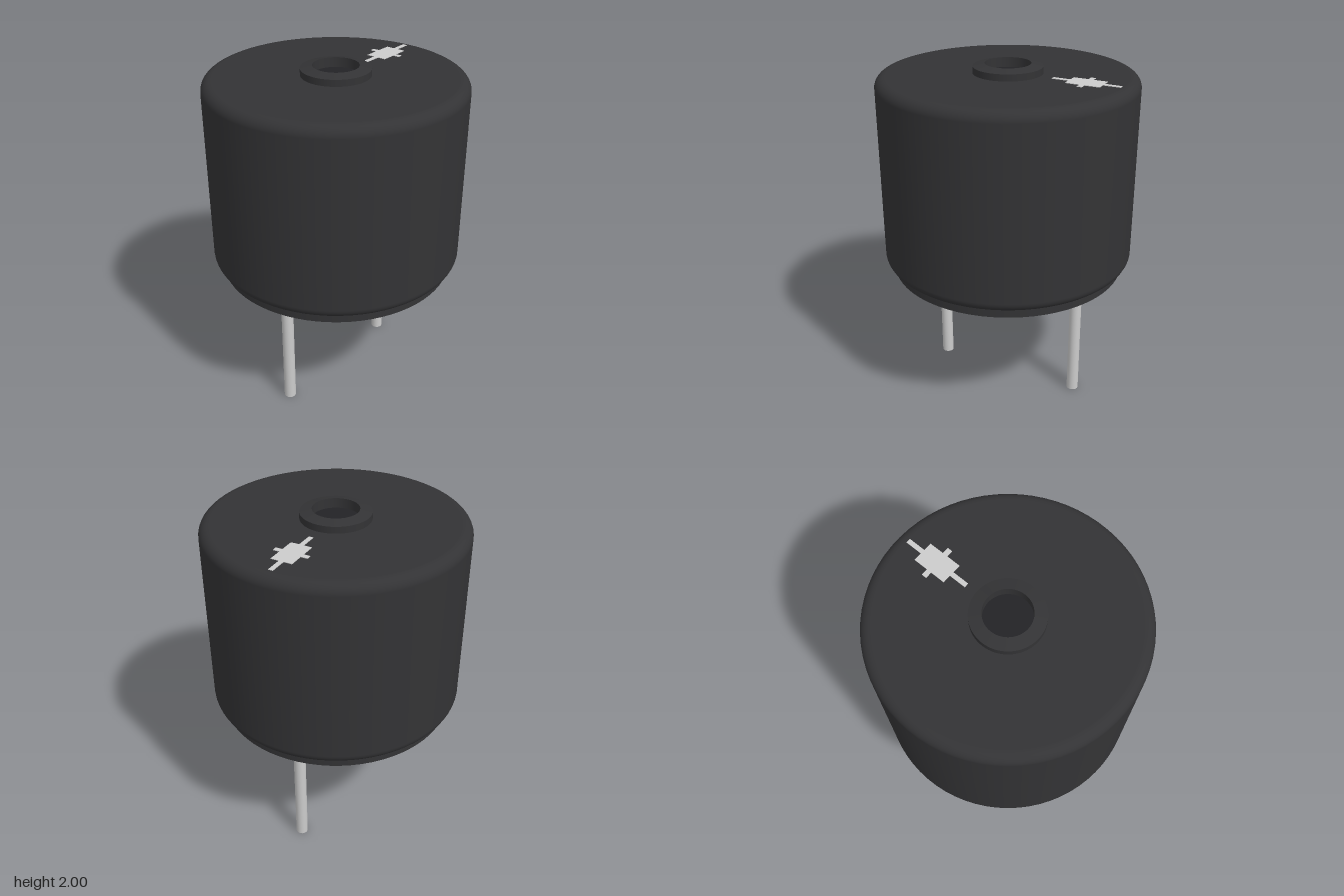
import * as THREE from 'three';

const SEGMENTS = 72;

// Lathe with a crease wherever one profile section meets the next
function turned(name, sections, material) {
  const group = new THREE.Group();
  group.name = name;
  for (const points of sections) {
    const profile = points.map(([r, y]) => new THREE.Vector2(r, y));
    group.add(new THREE.Mesh(new THREE.LatheGeometry(profile, SEGMENTS), material));
  }
  group.children.forEach((mesh, i) => { mesh.name = `${name}Surface${i + 1}`; });
  return group;
}

// Quarter-round edge points
function fillet(cx, cy, r, from, to, steps = 8) {
  return Array.from({ length: steps + 1 }, (_, i) => {
    const a = from + (to - from) * i / steps;
    return [cx + r * Math.cos(a), cy + r * Math.sin(a)];
  });
}

export function createModel() {
  const model = new THREE.Group();
  model.name = 'buzzer';
  const shell = new THREE.MeshStandardMaterial({ color: 0x333335 });
  const dark = new THREE.MeshStandardMaterial({ color: 0x232326 });
  const metal = new THREE.MeshStandardMaterial({ color: 0xcccccc });

  // Round housing with softened top and bottom edges
  const R = 0.73, top = 1.947, bottom = 0.845, f = 0.06;
  model.add(turned('housing', [
    [[0, bottom], [R - f, bottom]],
    [...fillet(R - f, bottom + f, f, -Math.PI / 2, 0), ...fillet(R - f, top - f, f, 0, Math.PI / 2)],
    [[R - f, top], [0.19, top]],
  ], shell));

  // Base plate set in from the housing wall
  const base = new THREE.Mesh(new THREE.CylinderGeometry(0.68, 0.68, 0.055, SEGMENTS), shell);
  base.name = 'basePlate';
  base.position.y = 0.8225;
  model.add(base);

  // Raised rim around the sound hole
  model.add(turned('soundHoleRim', [
    [[0.195, 1.94], [0.195, 1.985]],
    [[0.195, 1.985], [0.128, 2]],
    [[0.128, 2], [0.128, 1.94]],
  ], shell));

  // Floor of the sound hole
  const floor = new THREE.Mesh(new THREE.CircleGeometry(0.13, SEGMENTS), dark);
  floor.name = 'soundHoleFloor';
  floor.rotation.x = -Math.PI / 2;
  floor.position.y = 1.945;
  model.add(floor);

  // Flat cross-shaped polarity mark, drawn as one outline
  const quarter = [[0.013, 0.195], [0.013, 0.097], [0.06, 0.097], [0.06, 0.014], [0.098, 0.014]];
  const outline = [
    ...quarter,
    ...quarter.map(([x, y]) => [x, -y]).reverse(),
    ...quarter.map(([x, y]) => [-x, -y]),
    ...quarter.map(([x, y]) => [-x, y]).reverse(),
  ].map(([x, y]) => new THREE.Vector2(x, y));
  const mark = new THREE.Mesh(
    new THREE.ExtrudeGeometry(new THREE.Shape(outline), { depth: 0.006, bevelEnabled: false }), metal);
  mark.name = 'polarityMark';
  mark.rotation.x = -Math.PI / 2;
  mark.position.set(0, top - 0.003, -0.464);
  model.add(mark);

  // Two connection pins
  for (const side of [1, -1]) {
    const pin = new THREE.Mesh(new THREE.CylinderGeometry(0.035, 0.035, 0.81, 24), metal);
    pin.name = side > 0 ? 'frontPin' : 'backPin';
    pin.position.set(0, 0.405, side * 0.455);
    model.add(pin);
  }
  return model;
}
